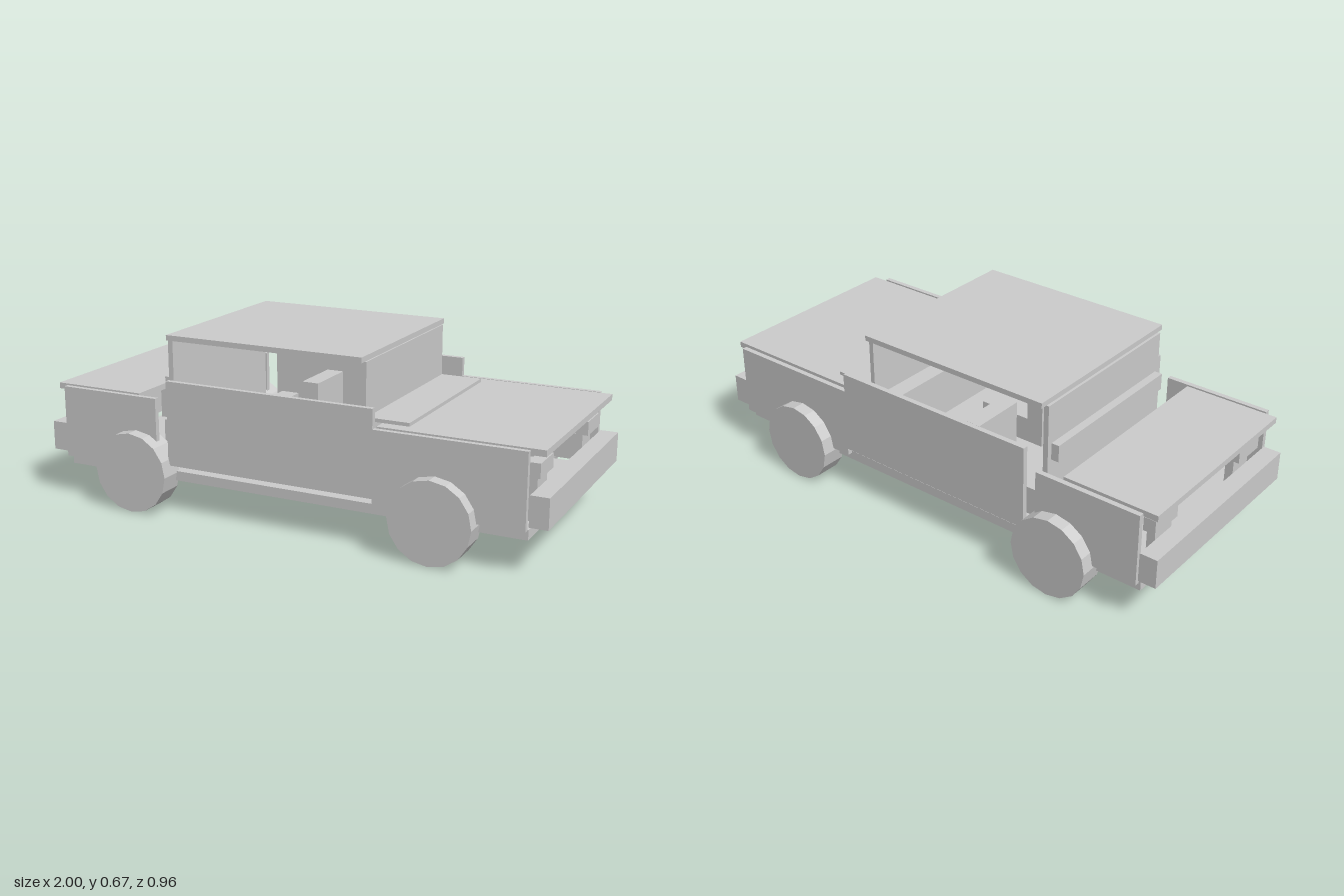
import * as THREE from 'three';

const material = new THREE.MeshStandardMaterial({ color: 0xcccccc, flatShading: true });

export function createModel() {
  const model = new THREE.Group();
  model.name = 'car';

  // Box given by its limits on each axis
  function box(name, x0, x1, y0, y1, z0, z1) {
    const mesh = new THREE.Mesh(new THREE.BoxGeometry(x1 - x0, y1 - y0, z1 - z0), material);
    mesh.position.set((x0 + x1) / 2, (y0 + y1) / 2, (z0 + z1) / 2);
    mesh.name = name;
    model.add(mesh);
  }
  // The same box on both sides of the car
  function pair(name, x0, x1, y0, y1, z0, z1) {
    box(name, x0, x1, y0, y1, z0, z1);
    box(name, x0, x1, y0, y1, -z1, -z0);
  }
  function cylinder(name, radius, length, sides, x, y, z, axis) {
    const geometry = new THREE.CylinderGeometry(radius, radius, length, sides);
    if (axis === 'x') geometry.rotateZ(Math.PI / 2);
    else geometry.rotateX(Math.PI / 2);
    const mesh = new THREE.Mesh(geometry, material);
    mesh.position.set(x, y, z);
    mesh.name = name;
    model.add(mesh);
  }

  // Floor, with the pipe and shaft below it
  box('floor', -0.93, 0.925, 0.123, 0.16, -0.395, 0.395);
  cylinder('driveShaft', 0.022, 0.86, 12, -0.04, 0.095, 0, 'x');
  cylinder('exhaustPipe', 0.017, 1.355, 12, -0.2075, 0.104, -0.23, 'x');

  // Side panels
  pair('rearFender', -0.93, -0.515, 0.163, 0.44, 0.408, 0.428);
  pair('door', -0.465, 0.37, 0.19, 0.513, 0.408, 0.428);
  pair('frontFender', 0.37, 0.925, 0.163, 0.44, 0.408, 0.428);

  // Hood, trunk lid and roof
  box('hood', 0.37, 0.975, 0.419, 0.442, -0.395, 0.395);
  box('hoodCowl', 0.31, 0.472, 0.442, 0.455, -0.345, 0.345);
  box('trunkLid', -0.978, -0.608, 0.419, 0.442, -0.395, 0.395);
  box('roof', -0.495, 0.302, 0.652, 0.672, -0.372, 0.372);

  // Window panels and the parts at their feet
  box('windshield', 0.29, 0.308, 0.338, 0.652, -0.347, 0.347);
  box('rearWindow', -0.505, -0.485, 0.27, 0.652, -0.345, 0.345);
  box('rearShelf', -0.536, -0.505, 0.435, 0.5, -0.325, 0.325);
  box('trunkBox', -0.608, -0.536, 0.16, 0.3, -0.233, 0.233);

  // Cabin
  box('firewall', 0.28, 0.37, 0.168, 0.37, -0.345, 0.345);
  box('dashboard', 0.22, 0.29, 0.34, 0.41, -0.34, 0.34);
  box('instrumentHood', 0.278, 0.29, 0.41, 0.535, 0.1, 0.26);
  pair('seatCushion', -0.1, 0.12, 0.16, 0.26, 0.08, 0.3);
  pair('seatBack', -0.17, -0.1, 0.16, 0.43, 0.08, 0.3);
  box('rearBench', -0.49, -0.3, 0.16, 0.27, -0.31, 0.31);

  // Bumpers and lamps at both ends
  for (const end of [1, -1]) {
    const span = (a, b) => (end > 0 ? [a, b] : [-b, -a]);
    box('bumper', ...span(0.932, 1), 0.178, 0.29, -0.418, 0.418);
    pair('lamp', ...span(0.895, 0.942), 0.325, 0.378, 0.207, 0.345);
    pair('lampPost', ...span(0.89, 0.922), 0.16, 0.325, 0.207, 0.31);
  }

  // Wheels
  for (const x of [-0.605, 0.602])
    for (const side of [1, -1])
      cylinder('wheel', 0.154, 0.1, 16, x, 0.154, side * 0.428, 'z');

  return model;
}
